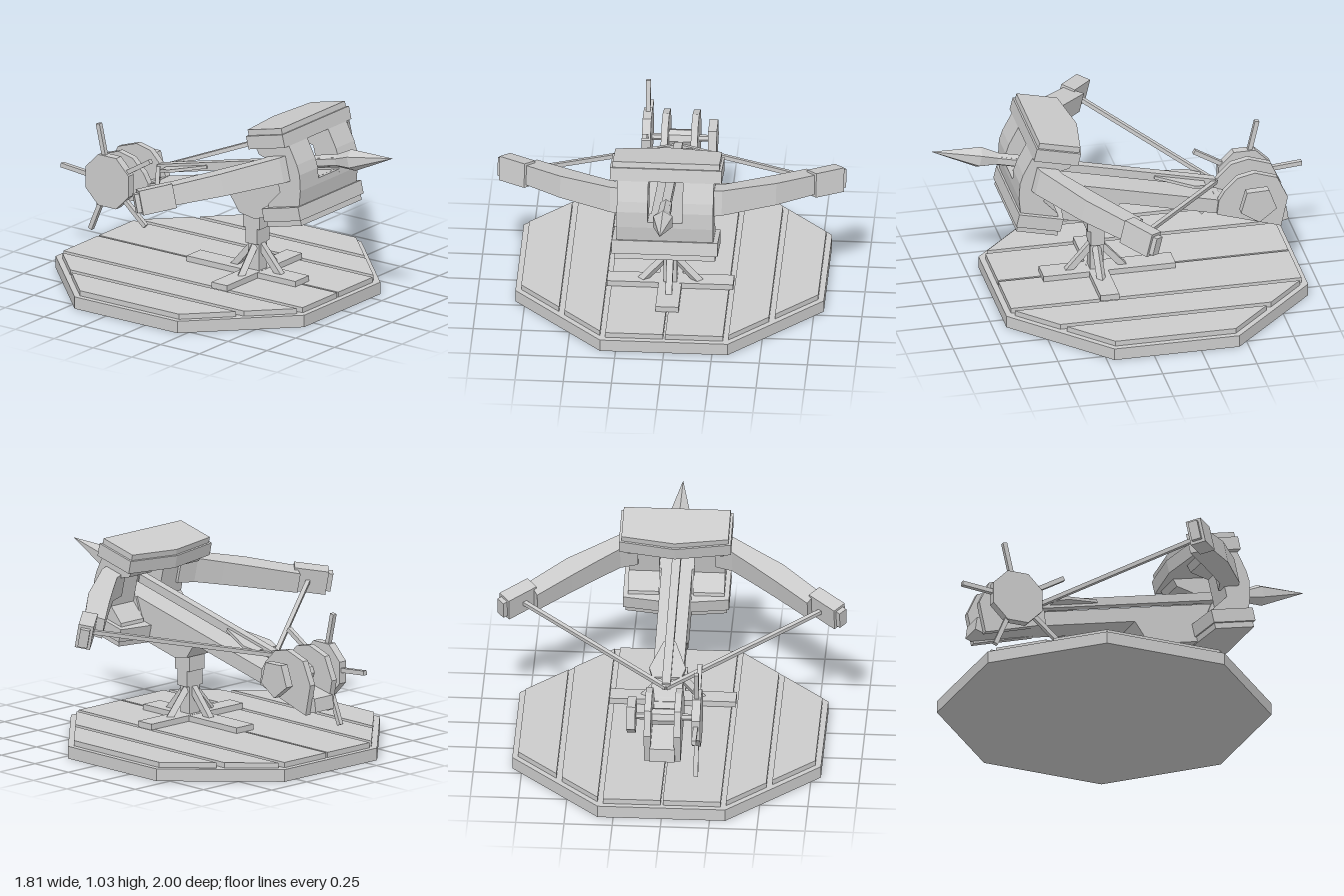
import * as THREE from 'three';

const mat = new THREE.MeshStandardMaterial({ color: 0xcccccc, flatShading: true, side: THREE.DoubleSide });

function add(parent, name, geo, x = 0, y = 0, z = 0) {
  const m = new THREE.Mesh(geo, mat);
  m.name = name;
  m.position.set(x, y, z);
  parent.add(m);
  return m;
}
const box = (parent, name, w, h, d, x, y, z) => add(parent, name, new THREE.BoxGeometry(w, h, d), x, y, z);

function extrude(pts, depth) {
  const shape = new THREE.Shape(pts.map(p => new THREE.Vector2(...p)));
  return new THREE.ExtrudeGeometry(shape, { depth, bevelEnabled: false });
}
// side profile (z, y) spanning x0..x1
const side = (parent, name, pts, x0, x1) =>
  add(parent, name, extrude(pts, x1 - x0).rotateY(-Math.PI / 2), x1);
// plan (x, z) spanning y0..y1
const plan = (parent, name, pts, y0, y1) =>
  add(parent, name, extrude(pts, y1 - y0).rotateX(Math.PI / 2), 0, y1);

// square bar from a to b
function bar(parent, name, a, b, w, h = w) {
  const A = new THREE.Vector3(...a), B = new THREE.Vector3(...b);
  const dir = B.clone().sub(A);
  const m = add(parent, name, new THREE.BoxGeometry(w, h, dir.length()));
  m.position.copy(A).add(B).multiplyScalar(0.5);
  m.quaternion.setFromUnitVectors(new THREE.Vector3(0, 0, 1), dir.normalize());
  return m;
}
const wheel = (parent, name, r, n, x0, x1, y, z, turn = 0) =>
  add(parent, name, new THREE.CylinderGeometry(r, r, x1 - x0, n).rotateZ(Math.PI / 2).rotateX(turn), (x0 + x1) / 2, y, z);

function buildBase(g) {
  const cz = -0.12, R = 0.8, s = 0.331;
  plan(g, 'platform', [[s, R], [R, s], [R, -s], [s, -R], [-s, -R], [-R, -s], [-R, s], [-s, R]]
    .map(([x, z]) => [x, z + cz]), 0, 0.065);
  // planks trimmed to a smaller octagon
  const reach = x => Math.min(0.77, 0.77 - (Math.abs(x) - 0.319));
  for (const [a, b] of [[0.006, 0.305], [0.333, 0.53], [0.56, 0.77]]) for (const k of [-1, 1]) {
    plan(g, 'plank', [[k * a, reach(a) + cz], [k * b, reach(b) + cz], [k * b, cz - reach(b)], [k * a, cz - reach(a)]], 0.06, 0.093);
  }
  // cross foot, post and braces
  box(g, 'crossFoot', 0.655, 0.032, 0.1, 0, 0.108, 0.13);
  box(g, 'longFoot', 0.12, 0.031, 0.7, 0, 0.1075, 0.072);
  box(g, 'post', 0.07, 0.34, 0.07, 0, 0.27, 0.135);
  box(g, 'postCollar', 0.11, 0.1, 0.072, 0, 0.32, 0.135);
  box(g, 'postHead', 0.11, 0.14, 0.105, 0, 0.425, 0.135);
  for (const [dx, dz] of [[1, 0], [-1, 0], [0, 1], [0, -1]]) {
    bar(g, 'brace', [dx * 0.15, 0.11, 0.135 + dz * 0.15], [dx * 0.02, 0.26, 0.135 + dz * 0.02], 0.034);
  }
}

function buildBow(g) {
  // stock and the deeper bracket under it
  box(g, 'stock', 0.16, 0.077, 1.12, 0, 0.132, -0.075);
  side(g, 'stockBracket', [[0.4, 0.12], [0.4, -0.035], [0.025, -0.035], [-0.06, 0], [-0.1, 0.1]], -0.08, 0.08);

  // cap and sill, mirrored about the arm plane
  const slab = (w, f, b, c) => [[w, f], [w, b], [0, c], [-w, b], [-w, f]];
  plan(g, 'cap', slab(0.29, 0.49, 0.25, 0.205), 0.385, 0.455);
  plan(g, 'capPlate', slab(0.277, 0.48, 0.258, 0.215), 0.455, 0.486);
  plan(g, 'sill', slab(0.275, 0.49, 0.25, 0.215), -0.01, 0.062);
  plan(g, 'sillPlate', slab(0.262, 0.48, 0.258, 0.225), -0.04, -0.01);

  // bowed columns
  const column = [[0.475, 0.05], [0.505, 0.14], [0.52, 0.225], [0.515, 0.28], [0.485, 0.395],
    [0.265, 0.395], [0.28, 0.345], [0.37, 0.3], [0.37, 0.14], [0.28, 0.08], [0.27, 0.05]];
  side(g, 'columnRight', column, -0.25, -0.09);
  side(g, 'columnLeft', column, 0.09, 0.25);
  side(g, 'frontFill', [[0.475, 0.05], [0.505, 0.14], [0.51, 0.17], [0.36, 0.17], [0.28, 0.05]], -0.09, 0.09);

  const armY = 0.265;
  for (const k of [-1, 1]) {
    // arm: bent plan whose height shrinks outwards
    const geo = extrude([[0.2, 0.465], [0.29, 0.44], [0.42, 0.35], [0.56, 0.255], [0.75, 0.075],
      [0.70, -0.025], [0.53, 0.125], [0.40, 0.235], [0.29, 0.325], [0.2, 0.355]].map(([x, z]) => [k * x, z]), 1)
      .rotateX(Math.PI / 2).translate(0, 0.5, 0);
    const p = geo.attributes.position;
    for (let i = 0; i < p.count; i++) {
      const t = (Math.abs(p.getX(i)) - 0.2) / 0.55;
      p.setY(i, p.getY(i) * (0.14 - 0.035 * t));
    }
    geo.computeVertexNormals();
    add(g, 'bowArm', geo, 0, armY, 0);
    // arm tip with a smaller end block
    const tip = new THREE.Group();
    tip.name = 'armTip';
    tip.position.set(k * 0.8, armY, 0.0);
    tip.rotation.y = k * 0.7;
    box(tip, 'tipBlock', 0.18, 0.13, 0.08, 0, 0, 0);
    box(tip, 'tipEnd', 0.03, 0.1, 0.05, k * 0.1, 0, 0);
    g.add(tip);
    bar(g, 'string', [k * 0.77, 0.26, -0.02], [0, 0.236, -0.6], 0.022);
  }

  // bolt: shaft, collar, pointed head and flat fins
  const y = 0.236;
  box(g, 'boltShaft', 0.045, 0.045, 1.2, 0, y, 0.01);
  const spin = (name, r0, r1, z0, z1) => add(g, name,
    new THREE.CylinderGeometry(r1, r0, z1 - z0, 6).rotateX(Math.PI / 2), 0, y, (z0 + z1) / 2);
  spin('boltNeck', 0.035, 0.035, 0.42, 0.6);
  spin('headBase', 0.032, 0.058, 0.58, 0.69);
  spin('headPoint', 0.058, 0.001, 0.69, 0.945);
  plan(g, 'fins', [[0.03, -0.26], [0.095, -0.46], [0.075, -0.53], [-0.075, -0.53], [-0.095, -0.46], [-0.03, -0.26]], y - 0.008, y + 0.008);
}

function buildWinch(g) {
  const cy = 0.48, cz = -0.69;
  const cheek = [[-0.49, 0.4], [-0.83, 0.295], [-0.865, 0.46], [-0.81, 0.58], [-0.69, 0.62], [-0.6, 0.6], [-0.53, 0.53], [-0.5, 0.48]];
  side(g, 'cheekRight', cheek, -0.095, -0.06);
  side(g, 'cheekLeft', cheek, 0.06, 0.095);
  side(g, 'winchBed', [[-0.49, 0.48], [-0.49, 0.4], [-0.84, 0.305], [-0.875, 0.315], [-0.865, 0.385], [-0.6, 0.44]], -0.065, 0.065);
  wheel(g, 'axle', 0.018, 6, -0.18, 0.17, cy, cz);
  wheel(g, 'drum', 0.045, 8, -0.065, 0.065, cy, cz);
  wheel(g, 'counterDisc', 0.1, 5, 0.145, 0.19, cy, cz, 0.35);
  // hand wheel with five spokes
  wheel(g, 'handWheel', 0.15, 8, -0.195, -0.15, cy, cz, Math.PI / 8);
  for (let i = 0; i < 5; i++) {
    const t = (5 + 72 * i) * Math.PI / 180, c = -Math.cos(t), s = Math.sin(t);
    bar(g, 'spoke', [-0.172, cy + 0.1 * s, cz + 0.1 * c], [-0.172, cy + 0.308 * s, cz + 0.308 * c], 0.024);
  }
}

export function createModel() {
  const model = new THREE.Group();
  model.name = 'mountedBallista';
  const base = new THREE.Group(), bow = new THREE.Group(), winch = new THREE.Group();
  base.name = 'base';
  bow.name = 'tiltedBow';
  winch.name = 'winch';
  buildBase(base);
  buildBow(bow);
  buildWinch(winch);
  // the bow assembly tips upward at the front
  bow.position.set(0, 0.45, 0.135);
  bow.rotation.x = -0.23;
  model.add(base, bow, winch);
  return model;
}
